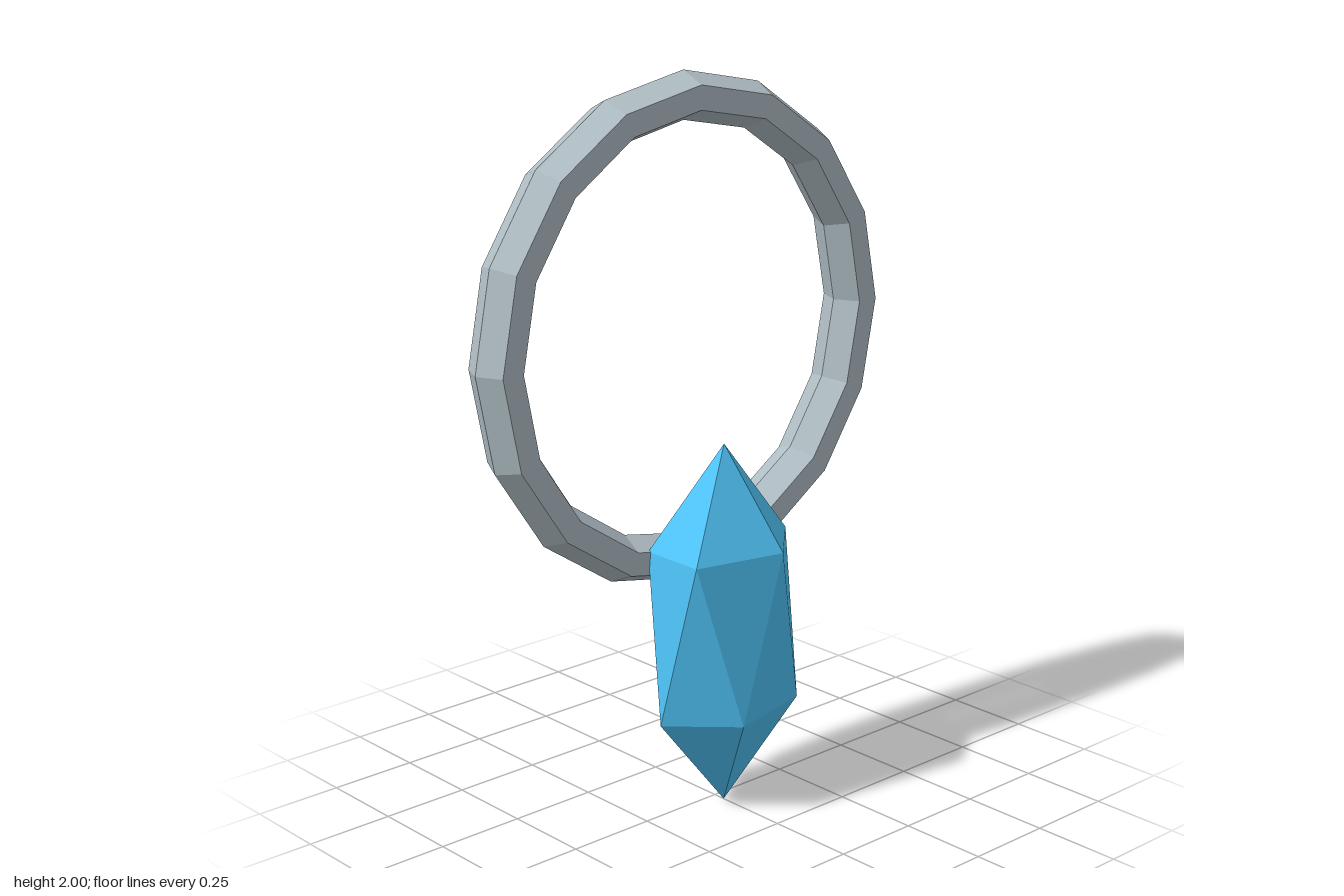
import * as THREE from 'three';

export function createModel() {
  const model = new THREE.Group();

  function add(name, geometry, color, x, y, z) {
    const material = new THREE.MeshStandardMaterial({ color, flatShading: true });
    const mesh = new THREE.Mesh(geometry, material);
    mesh.name = name;
    mesh.position.set(x, y, z);
    model.add(mesh);
  }

  // Ring: sixteen segments with a six-sided section, a little deeper than thick
  const ring = new THREE.TorusGeometry(0.629, 0.065, 6, 16);
  ring.scale(1, 1, 1.25);
  add('ring', ring, 0xb0bec5, 0, 1.306, -0.12);

  // Crystal: an icosahedron turned to stand on a corner, then stretched upright
  const crystal = new THREE.IcosahedronGeometry(1, 0);
  crystal.rotateZ(-Math.atan2(2, 1 + Math.sqrt(5)));
  crystal.scale(0.257, 0.513, 0.182);
  add('crystal', crystal, 0x4fc3f7, 0, 0.516, 0.036);

  return model;
}
